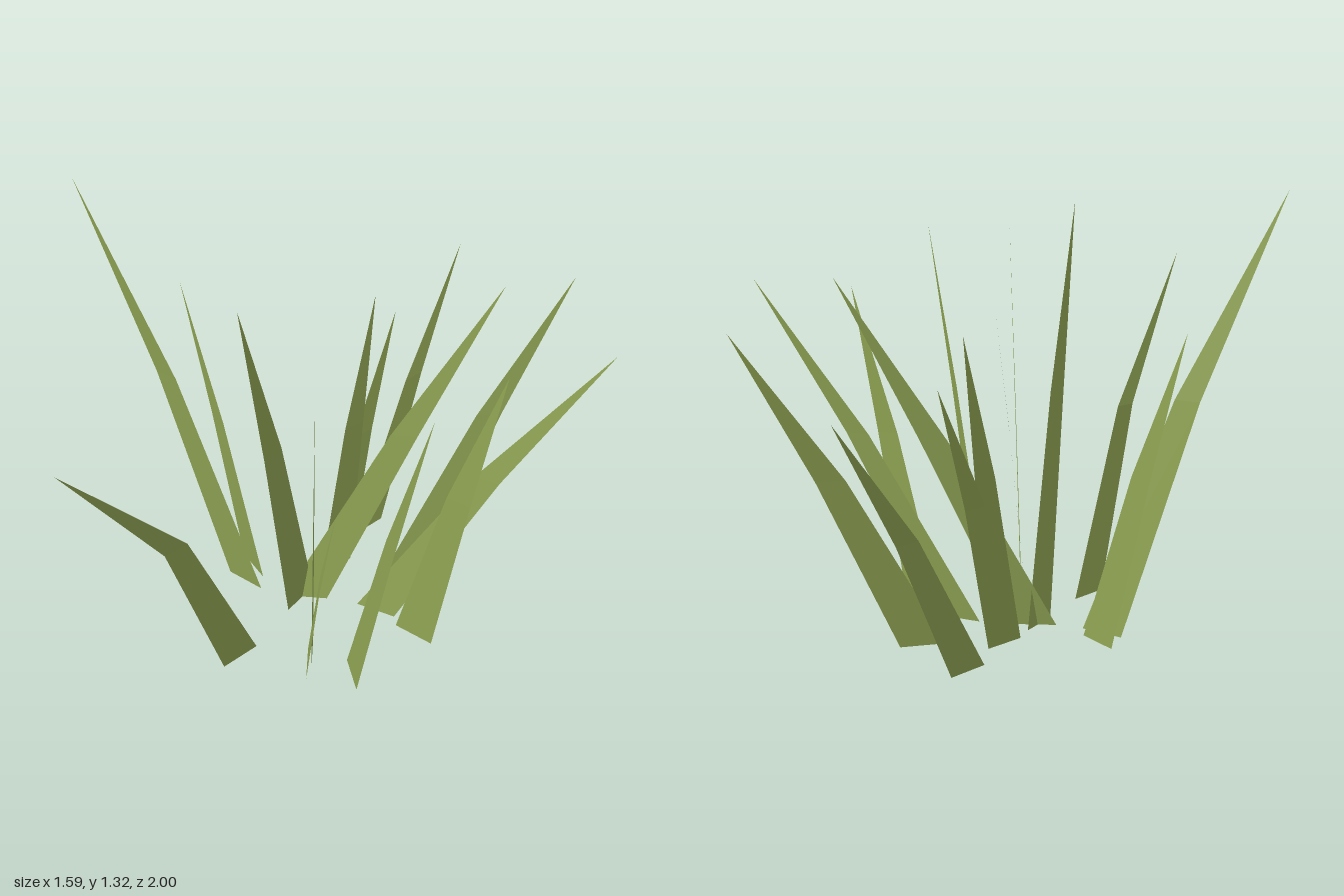
import * as THREE from 'three';

// Each blade: inner base corner [x, z], outer base corner [x, z], tip [x, y, z], lean of the bend (0 base, 1 tip)
const BLADES = [
  [[-0.055, -0.325], [-0.005, -0.445], [0.05, 0.815, -1.0], 0.49],
  [[-0.075, -0.09], [-0.02, -0.205], [0.013, 0.81, -0.48], 0.46],
  [[-0.075, -0.085], [-0.02, -0.2], [0.0, 0.935, -0.335], 0.49],
  [[0.11, -0.205], [0.225, -0.285], [0.535, 0.955, -0.655], 0.5],
  [[-0.14, 0.055], [-0.01, 0.015], [0.415, 1.075, -0.29], 0.52],
  [[0.09, 0.0], [0.22, 0.01], [0.79, 1.04, -0.095], 0.5],
  [[0.24, 0.045], [0.37, 0.08], [0.545, 1.01, 0.075], 0.5],
  [[0.16, 0.25], [0.235, 0.355], [0.515, 1.18, 0.595], 0.52],
  [[0.03, 0.25], [0.08, 0.375], [0.31, 0.91, 0.69], 0.5],
  [[0.025, 0.2], [0.075, 0.325], [0.22, 1.18, 0.605], 0.54],
  [[-0.075, -0.02], [-0.1, 0.115], [-0.06, 1.265, 0.45], 0.49],
  [[-0.12, 0.305], [-0.17, 0.425], [-0.26, 1.07, 1.0], 0.39],
  [[-0.225, 0.055], [-0.355, 0.02], [-0.8, 1.32, 0.025], 0.48],
  [[-0.245, 0.0], [-0.355, -0.08], [-0.575, 0.945, -0.155], 0.5],
];
const MID_HEIGHT = 0.55; // height of the bend as a share of the blade
const MID_WIDTH = 0.6;   // width at the bend as a share of the base

// A flat blade: a tapering lower panel and a pointed upper panel
function bladeGeometry([inner, outer, tipPoint, lean]) {
  const a = new THREE.Vector3(inner[0], 0, inner[1]);
  const b = new THREE.Vector3(outer[0], 0, outer[1]);
  const tip = new THREE.Vector3(...tipPoint);
  const half = b.clone().sub(a).multiplyScalar(MID_WIDTH / 2);
  const mid = a.clone().add(b).multiplyScalar(0.5).lerp(tip, lean);
  mid.y = tip.y * MID_HEIGHT;
  const c = mid.clone().sub(half);
  const d = mid.clone().add(half);
  const geometry = new THREE.BufferGeometry().setFromPoints([a, b, d, a, d, c, c, d, tip]);
  geometry.computeVertexNormals();
  return geometry;
}

export function createModel() {
  const group = new THREE.Group();
  group.name = 'grassTuft';
  const grass = new THREE.MeshStandardMaterial({ color: 0x8fa353, side: THREE.DoubleSide, flatShading: true });
  grass.name = 'grass green';

  BLADES.forEach((blade, i) => {
    const mesh = new THREE.Mesh(bladeGeometry(blade), grass);
    mesh.name = `grassBlade${i + 1}`;
    group.add(mesh);
  });
  return group;
}
